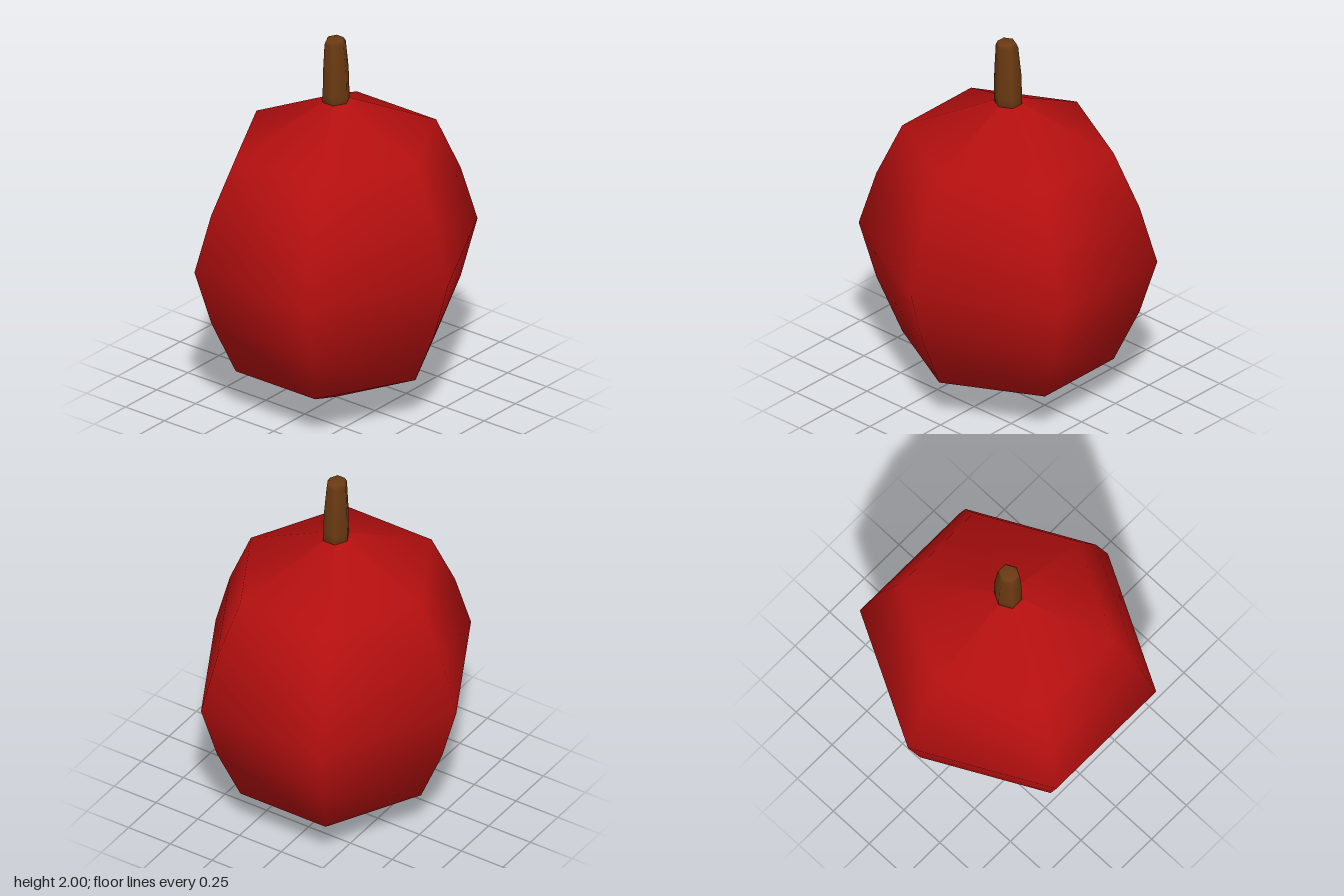
import * as THREE from 'three';

const SIDES = 6;
const WIDEN = 1.097; // the hexagon is a little wider in x than a regular one

// Smooth six-sided turned body from [radius, height] pairs, bottom to top
function turned(profile) {
  const points = profile.map(([r, y]) => new THREE.Vector2(r, y));
  return new THREE.LatheGeometry(points, SIDES).scale(WIDEN, 1, 1);
}

function part(name, geometry, material) {
  const mesh = new THREE.Mesh(geometry, material);
  mesh.name = name;
  return mesh;
}

export function createModel() {
  const red = new THREE.MeshStandardMaterial({ color: 0xb40f0f });
  red.name = 'fruit red';
  const brown = new THREE.MeshStandardMaterial({ color: 0x6b3a12 });
  brown.name = 'stem brown';

  const group = new THREE.Group();
  group.name = 'fruit';

  // Fruit body: five rings between two poles
  group.add(part('fruitBody', turned([
    [0, 0], [0.51, 0.25], [0.635, 0.545], [0.72, 0.845],
    [0.635, 1.145], [0.51, 1.44], [0, 1.69],
  ]), red));

  // Stem: tapered, with a bevelled tip
  const stem = turned([
    [0, 1.6], [0.068, 1.6], [0.068, 1.7], [0.065, 1.83],
    [0.054, 1.98], [0.044, 2], [0, 2],
  ]);
  // Lean the upper stem slightly to the side
  const pos = stem.attributes.position;
  for (let i = 0; i < pos.count; i++) {
    const t = Math.max(0, (pos.getY(i) - 1.7) / 0.3);
    pos.setX(i, pos.getX(i) - 0.008 * t * t);
  }
  group.add(part('stem', stem, brown));

  return group;
}
